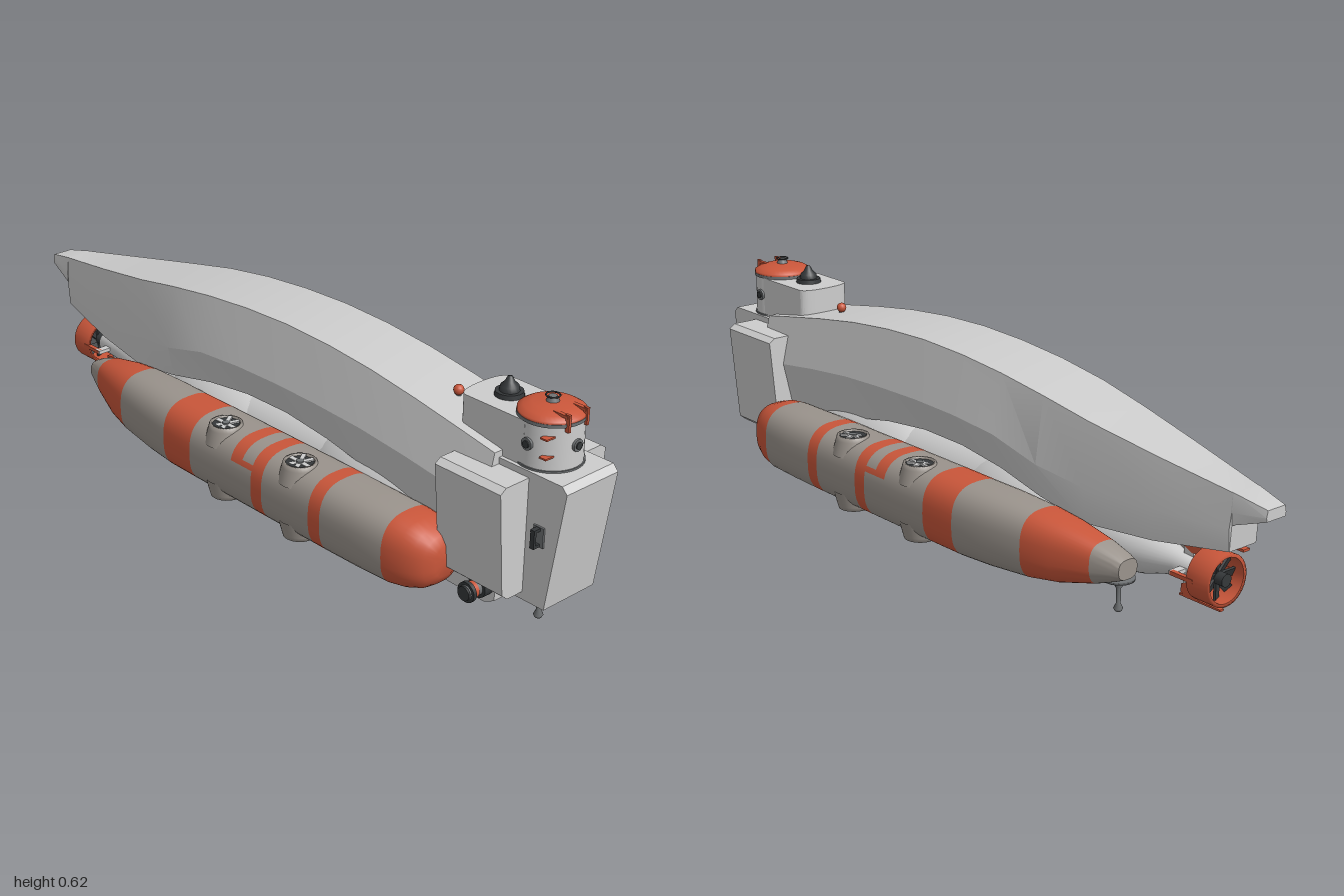
import * as THREE from 'three';
import { toCreasedNormals, mergeVertices } from 'three/addons/utils/BufferGeometryUtils.js';

const mat = (name, color, extra = {}) => {
  const m = new THREE.MeshStandardMaterial({ color, ...extra });
  m.name = name;
  return m;
};

export function createModel() {
  const root = new THREE.Group();
  root.name = 'submersible';
  const white = mat('hullGrey', 0xcdcdcd);
  const grey = mat('floatGrey', 0x9a938c);
  const orange = mat('safetyOrange', 0xc9563a);
  const dark = mat('darkFitting', 0x35383a);
  const steel = mat('steelGrey', 0x6f7274);

  const add = (name, geo, material, x = 0, y = 0, z = 0, rx = 0, ry = 0, rz = 0, parent = root) => {
    const m = new THREE.Mesh(geo, material);
    m.name = name;
    m.position.set(x, y, z);
    m.rotation.set(rx, ry, rz);
    parent.add(m);
    return m;
  };
  const cyl = (rt, rb, h, n = 24) => new THREE.CylinderGeometry(rt, rb, h, n);
  const box = (x, y, z) => new THREE.BoxGeometry(x, y, z);
  const lathe = (pts, n = 32) => new THREE.LatheGeometry(pts.map(p => new THREE.Vector2(...p)), n);
  const H = Math.PI / 2;

  // Skin over rings of [x, y, z]; each ring runs from +z over +y to -z. Ends are closed.
  function loft(rings, crease, slot = () => 0) {
    const centre = r => {
      const c = [0, 1, 2].map(k => r.reduce((s, p) => s + p[k], 0) / r.length);
      return r.map(() => c);
    };
    const all = [centre(rings[0]), ...rings, centre(rings[rings.length - 1])];
    const n = rings[0].length, lists = [[], []];
    for (let i = 0; i < all.length - 1; i++)
      for (let j = 0; j < n; j++) {
        const k = (j + 1) % n, a = i * n + j, b = a + n, c = b - j + k, d = a - j + k;
        const q = lists[slot((all[i][j][0] + all[i + 1][j][0]) / 2, j)];
        if (i > 0) q.push(a, b, d);
        else q.push(a, b, c);
        if (i > 0 && i < all.length - 2) q.push(b, c, d);
      }
    const g = new THREE.BufferGeometry();
    g.setAttribute('position', new THREE.Float32BufferAttribute(all.flat(2), 3));
    g.setIndex(lists.flat());
    g.addGroup(0, lists[0].length, 0);
    g.addGroup(lists[0].length, lists[1].length, 1);
    return toCreasedNormals(g, crease);
  }

  // Arched upper fairing: x, deck y, deck half width, knee y, knee half width, keel y, keel half width
  const fairing = [
    [-1, .412, .028, .395, .032, .385, .03], [-.912, .43, .04, .385, .046, .355, .044],
    [-.908, .43, .04, .345, .048, .29, .044], [-.7, .465, .068, .34, .08, .262, .076],
    [-.5, .5, .09, .34, .106, .25, .1], [-.35, .528, .098, .36, .122, .275, .105],
    [-.2, .549, .1, .4, .131, .305, .1], [-.05, .562, .1, .412, .133, .324, .1],
    [.1, .567, .1, .415, .133, .326, .1], [.25, .562, .1, .412, .133, .31, .1],
    [.4, .548, .1, .405, .133, .282, .1], [.55, .526, .1, .39, .133, .262, .1],
    [.7, .5, .1, .37, .132, .25, .105], [.8, .482, .1, .36, .13, .25, .105]];
  add('upperFairing', loft(fairing.map(([x, ty, tz, ky, kz, by, bz]) =>
    [[x, by, bz], [x, ky, kz], [x, ty, tz], [x, ty, -tz], [x, ky, -kz], [x, by, -bz]]), .35), white);

  // Pressure hull under the fairing, with tapering tail
  const ball = new THREE.SphereGeometry(1, 32, 20);
  add('forwardPressureHull', ball, white, .4, .185, 0).scale.set(.29, .15, .145);
  add('aftPressureHull', ball, white, -.21, .19, 0).scale.set(.25, .122, .13);
  add('midPressureHull', cyl(.1, .1, .75, 28), white, .1, .2, 0, 0, 0, H);
  add('tailCone', lathe([[0, 0], [.026, 0], [.03, .08], [.06, .18], [.075, .3], [.09, .55]]),
    white, -.8, .195, 0, 0, 0, -H);

  // Side floats with painted bands
  const stations = [
    [-.67, .12, .03, .025], [-.65, .122, .036, .034], [-.6, .13, .048, .052], [-.5, .146, .068, .076],
    [-.42, .155, .078, .087], [-.3, .164, .086, .094], [-.2, .17, .09, .096], [-.09, .17, .092, .096],
    [.07, .17, .092, .096], [.11, .17, .092, .096], [.15, .17, .092, .096], [.19, .17, .092, .096],
    [.36, .17, .091, .096], [.4, .17, .091, .096], [.5, .17, .09, .095], [.605, .168, .088, .093],
    [.65, .164, .083, .087], [.685, .16, .073, .076], [.705, .157, .058, .062], [.718, .155, .035, .04]];
  const bands = [[-.6, -.42], [-.2, -.09], [.15, .19], [.36, .4], [.605, .73]];
  const N = 36;
  const se = (v, p) => Math.sign(v) * Math.abs(v) ** p;
  const blade = box(.068, .004, .011);
  for (const s of [1, -1]) {
    const side = new THREE.Group();
    side.name = s > 0 ? 'leftFloat' : 'rightFloat';
    root.add(side);
    const rings = stations.map(([x, z, a, b]) => Array.from({ length: N }, (_, j) => {
      const t = j / N * Math.PI * 2;
      return [x, .192 + b * se(Math.sin(t), .75), s * z + a * se(Math.cos(t), .75)];
    }));
    const paint = (x, j) => {
      const up = Math.sin((j + .5) / N * Math.PI * 2);
      if (bands.some(([a, b]) => x > a && x < b)) return 1;
      if (x > .07 && x < .11 && up > .35) return 1;
      return x > .11 && x < .15 && up > .3 && up < .55 ? 1 : 0;
    };
    add('floatBody', loft(rings, .7, paint), [grey, orange], 0, 0, 0, 0, 0, 0, side);

    // Vertical thruster tunnels, open above and below
    for (const x of [-.01, .27]) for (const v of [1, -1]) {
      const t = new THREE.Group();
      t.name = 'verticalThruster';
      t.position.set(x, .192 + v * .08, s * .205);
      t.rotation.x = v > 0 ? 0 : Math.PI;
      side.add(t);
      add('tunnelRim', lathe([[.055, -.03], [.045, .01], [.042, .021], [.036, .021], [.036, .012]]), grey,
        0, 0, 0, 0, 0, 0, t);
      add('tunnelShade', cyl(.037, .037, .004), dark, 0, .014, 0, 0, 0, 0, t);
      for (let k = 0; k < 3; k++) add('fanBlade', blade, white, 0, .017, 0, .15, k * Math.PI / 3, 0, t);
      add('fanHub', cyl(.01, .01, .008, 12), steel, 0, .018, 0, 0, 0, 0, t);
    }

    // Bow side thruster
    add('sideThrusterMount', cyl(.027, .027, .03), dark, .77, .125, s * .09, H);
    add('sideThrusterMotor', cyl(.019, .019, .06), steel, .77, .125, s * .115, H);
    add('sideThrusterBand', cyl(.021, .021, .014), orange, .77, .125, s * .124, H);
    add('sideThrusterRim', cyl(.026, .026, .01), dark, .77, .125, s * .136, H);
    add('sideThrusterCap', cyl(.018, .018, .01), dark, .77, .125, s * .145, H);

    // Grab handle on the bow block
    add('handlePlate', box(.03, .05, .006), steel, .93, .321, s * .087);
    add('handleBar', box(.012, .046, .007), dark, .93, .321, s * .106);
    for (const y of [.301, .341]) add('handleArm', box(.012, .007, .026), dark, .93, y, s * .097);
  }

  // Bow block, its side fairings and the lower skid
  const extrude = (pts, depth) => {
    const g = new THREE.ExtrudeGeometry(new THREE.Shape(pts.map(p => new THREE.Vector2(...p))),
      { depth, bevelEnabled: false });
    return g.translate(0, 0, -depth / 2);
  };
  add('bowBlock', extrude([[.7, .14], [.955, .14], [1, .45], [.985, .466], [.7, .466]], .17), white);
  add('bowSideFairing', extrude([[-.135, .16], [.135, .16], [.153, .175], [.175, .438], [.158, .45],
    [-.158, .45], [-.175, .438], [-.153, .175]], .2), white, .79, 0, 0, 0, H);
  add('lowerSkid', extrude([[.58, .1], [.6, .08], [.77, .075], [.8, .09], [.81, .2], [.58, .2]], .155), white);

  // Conning tower
  const raised = new THREE.Shape();
  raised.moveTo(.86, -.075).lineTo(.68, -.075).quadraticCurveTo(.655, -.07, .655, 0);
  raised.quadraticCurveTo(.655, .07, .68, .075).lineTo(.86, .075);
  const deck = new THREE.ExtrudeGeometry(raised, { depth: .11, bevelEnabled: false });
  add('towerFairing', deck, white, 0, .465, 0, -H);
  add('tower', cyl(.075, .077, .12, 40), white, .872, .522, 0);
  add('towerRim', cyl(.079, .079, .008, 40), steel, .872, .579, 0);
  add('towerFoot', cyl(.08, .08, .005, 40), steel, .872, .468, 0);
  add('hatch', lathe([[.078, 0], [.078, .006], [.065, .014], [.045, .02], [0, .024]], 40), orange, .872, .583, 0);
  add('hatchHub', cyl(.01, .016, .014, 16), steel, .872, .611, 0);
  add('hatchRing', new THREE.TorusGeometry(.016, .002, 6, 20), dark, .872, .619, 0, H);
  for (const z of [-.03, .03]) {
    add('hatchHook', box(.012, .042, .007), orange, .944, .585, z);
    add('hatchHinge', box(.04, .007, .01), orange, .925, .6, z);
  }
  for (const y of [.505, .552]) add('towerStep', box(.02, .004, .028), orange, .918, y, .064);
  for (const a of [0, H, -H]) {
    const p = new THREE.Group();
    p.name = 'porthole';
    p.position.set(.872, .525, 0);
    p.rotation.y = a;
    root.add(p);
    add('portholeRim', cyl(.015, .015, .012), steel, .075, 0, 0, 0, 0, H, p);
    add('portholeGlass', cyl(.009, .009, .004, 16), dark, .082, 0, 0, 0, 0, H, p);
  }
  add('beaconBase', cyl(.033, .035, .012), dark, .745, .58, 0);
  add('beaconDome', lathe([[.024, 0], [.022, .012], [.012, .022], [.006, .034], [0, .036]], 20), dark, .745, .586, 0);
  add('deckKnob', new THREE.SphereGeometry(.013, 16, 10), orange, .59, .532, 0);
  add('deckKnobPost', cyl(.006, .008, .03, 12), steel, .59, .52, 0);

  // Sounding poles under bow and tail
  const pole = [[0, 0], [.008, 0], [.012, .007], [.006, .02], [.006, .06], [.009, .064], [.009, .074],
    [.01, .082], [.04, .083], [.04, .091], [0, .091]];
  add('bowPole', lathe(pole, 20), steel, .87, .049, 0);
  add('tailPole', lathe(pole, 20), steel, -.52, .002, 0);
  add('tailPoleMount', cyl(.025, .025, .06), white, -.52, .12, 0);

  // Main propeller, duct and tail fins
  add('propellerDuct', lathe([[.056, -.033], [.065, -.033], [.065, .033], [.056, .033], [.056, -.033]]),
    orange, -.833, .195, 0, 0, 0, -H);
  add('propellerHub', cyl(.016, .016, .08, 16), dark, -.825, .195, 0, 0, 0, H);
  for (let k = 0; k < 4; k++) add('propellerBlade', box(.006, .108, .024), dark, -.835, .195, 0, k * Math.PI / 4, .4);
  for (const v of [1, -1]) {
    add('tailFin', extrude([[-.79, .04], [-.76, .036], [-.73, .05], [-.73, .07], [-.75, .08], [-.785, .078]]
      .map(([x, y]) => [x, .195 + v * y]), .012), orange);
    add('finBar', box(.13, .005, .012), orange, -.79, .195 + v * .077, 0);
    add('finPost', box(.03, .07, .01), white, -.75, .195 + v * .035, 0);
    add('ductStrut', box(.07, .01, .012), orange, -.785, .195, v * .06);
    add('strutArm', box(.02, .01, .06), white, -.755, .195, v * .035);
  }
  add('rudderBar', box(.2, .006, .02), orange, -.82, .287, 0);
  return root;
}
